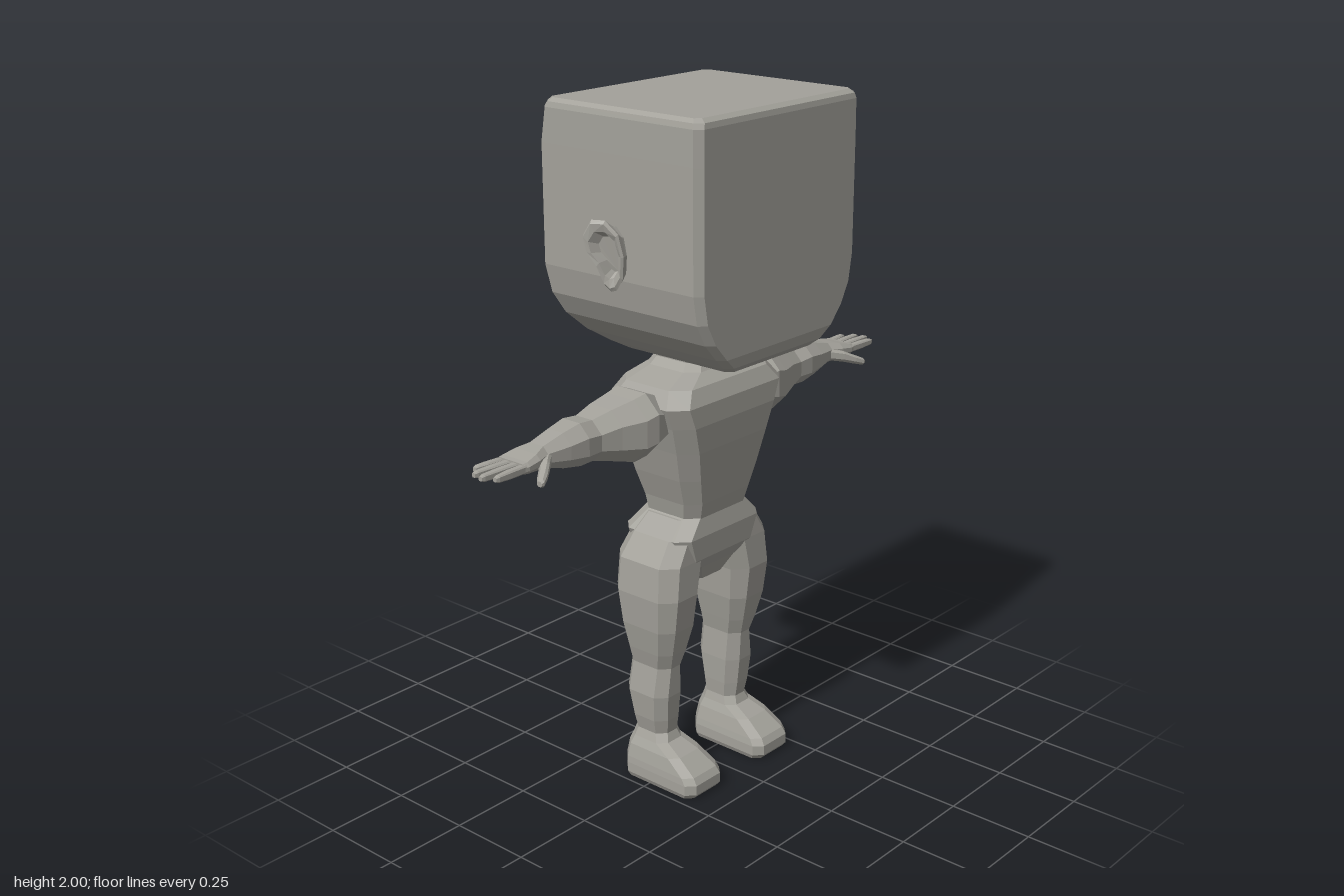
import * as THREE from 'three';

const clay = new THREE.MeshStandardMaterial({ color: 0xa3a19a, flatShading: true });
clay.name = 'warm grey';

// Skin a list of equal-length point rings, cap both ends and face the result outward.
function skin(name, rings) {
  const n = rings[0].length, tris = [];
  for (let r = 0; r < rings.length - 1; r++) {
    for (let i = 0; i < n; i++) {
      const j = (i + 1) % n, a = rings[r], b = rings[r + 1];
      tris.push([a[i], a[j], b[j]], [a[i], b[j], b[i]]);
    }
  }
  const first = rings[0], last = rings[rings.length - 1];
  for (let i = 1; i < n - 1; i++) {
    tris.push([first[0], first[i + 1], first[i]], [last[0], last[i], last[i + 1]]);
  }
  let volume = 0;
  for (const [a, b, c] of tris) volume += a.dot(b.clone().cross(c));
  const points = [];
  for (const [a, b, c] of tris) points.push(...(volume > 0 ? [a, b, c] : [a, c, b]));
  const geometry = new THREE.BufferGeometry().setFromPoints(points);
  geometry.computeVertexNormals();
  const mesh = new THREE.Mesh(geometry, clay);
  mesh.name = name;
  return mesh;
}

// Rectangle with cut corners, as [u, v] pairs.
function chamfered(u0, u1, v0, v1, c) {
  return [[u0 + c, v0], [u1 - c, v0], [u1, v0 + c], [u1, v1 - c],
    [u1 - c, v1], [u0 + c, v1], [u0, v1 - c], [u0, v0 + c]];
}

// Sections: [y, x0, x1, z0, z1, chamfer]
function upright(name, sections, side = 1) {
  return skin(name, sections.map(([y, x0, x1, z0, z1, c]) =>
    chamfered(x0, x1, z0, z1, c).map(([x, z]) => new THREE.Vector3(side * x, y, z))));
}

// Sections: [x, y0, y1, z0, z1, chamfer]
function sideways(name, sections, side) {
  return skin(name, sections.map(([x, y0, y1, z0, z1, c]) =>
    chamfered(y0, y1, z0, z1, c).map(([y, z]) => new THREE.Vector3(side * x, y, z))));
}

// Symmetric sections: [y, halfWidth, z0, z1, chamfer]
const centred = (name, sections) =>
  upright(name, sections.map(([y, w, z0, z1, c]) => [y, -w, w, z0, z1, c]));

function makeEar(side) {
  // Each ring: [x at front, x at back, scale, shift in z]
  const rings = [[0.31, 0.31, 0.7, 0.005], [0.338, 0.365, 0.8, 0.005], [0.352, 0.398, 1, 0],
    [0.358, 0.406, 0.9, 0], [0.354, 0.4, 0.66, 0], [0.34, 0.372, 0.5, 0.004]];
  const outline = [[0.024, 1.53], [0.04, 1.56], [0.045, 1.62], [0.032, 1.68], [0, 1.715],
    [-0.034, 1.715], [-0.054, 1.675], [-0.045, 1.63], [-0.02, 1.59], [-0.004, 1.54], [0.01, 1.525]];
  return skin('ear', rings.map(([xf, xb, s, dz]) => outline.map(([z, y]) => {
    const back = (0.045 - z) / 0.1;
    const low = Math.max(0, (1.6 - y) / 0.08) * 0.006;
    return new THREE.Vector3(side * (xf + (xb - xf) * back - low),
      1.625 + (y - 1.625) * s, dz - 0.002 + (z + 0.002) * s);
  })));
}

function makeArm(side) {
  const arm = new THREE.Group();
  arm.name = side > 0 ? 'leftArm' : 'rightArm';
  arm.add(sideways('armAndPalm', [
    [0.18, 1.07, 1.18, -0.09, 0.05, 0.035],
    [0.21, 1.06, 1.205, -0.11, 0.07, 0.045],
    [0.26, 1.045, 1.225, -0.122, 0.082, 0.05],
    [0.3, 1.037, 1.215, -0.122, 0.075, 0.05],
    [0.37, 1.055, 1.2, -0.112, 0.048, 0.04],
    [0.43, 1.07, 1.185, -0.1, 0.03, 0.035],
    [0.48, 1.07, 1.19, -0.1, 0.033, 0.035],
    [0.54, 1.08, 1.178, -0.09, 0.025, 0.03],
    [0.61, 1.1, 1.16, -0.075, 0.01, 0.018],
    [0.65, 1.108, 1.153, -0.083, 0.022, 0.014],
    [0.69, 1.112, 1.144, -0.085, 0.025, 0.01],
    [0.705, 1.114, 1.142, -0.083, 0.022, 0.009],
  ], side));
  // Four fingers: [root z, tip z, tip x]
  [[-0.07, -0.08, 0.785], [-0.043, -0.051, 0.815], [-0.016, -0.019, 0.822], [0.011, 0.014, 0.803]]
    .forEach(([z0, z1, tip]) => {
      const at = (x, z, r) => [x, 1.128 - r, 1.128 + r, z - r, z + r, r * 0.35];
      arm.add(sideways('finger', [at(0.69, z0, 0.011), at(0.75, (z0 + z1) / 2, 0.011),
        at(tip - 0.01, z1, 0.009), at(tip, z1, 0.006)], side));
    });
  // Thumb angled forward and down
  arm.add(sideways('thumb', [
    [0.6, 1.11, 1.145, -0.02, 0.012, 0.008],
    [0.635, 1.103, 1.137, 0.002, 0.04, 0.008],
    [0.665, 1.094, 1.122, 0.028, 0.062, 0.008],
    [0.688, 1.088, 1.11, 0.046, 0.074, 0.006],
    [0.696, 1.09, 1.105, 0.054, 0.072, 0.005],
  ], side));
  return arm;
}

function makeLeg(side) {
  const leg = new THREE.Group();
  leg.name = side > 0 ? 'leftLeg' : 'rightLeg';
  leg.add(upright('legAndFoot', [
    [0, 0.085, 0.225, -0.095, 0.155, 0.02],
    [0.015, 0.078, 0.232, -0.105, 0.168, 0.025],
    [0.045, 0.078, 0.232, -0.106, 0.168, 0.025],
    [0.065, 0.082, 0.23, -0.106, 0.155, 0.025],
    [0.105, 0.092, 0.222, -0.102, 0.095, 0.025],
    [0.13, 0.103, 0.21, -0.095, 0.038, 0.025],
    [0.155, 0.11, 0.2, -0.09, 0.028, 0.025],
    [0.2, 0.107, 0.21, -0.098, 0.035, 0.028],
    [0.28, 0.105, 0.218, -0.112, 0.043, 0.03],
    [0.37, 0.11, 0.205, -0.105, 0.045, 0.028],
    [0.42, 0.1, 0.217, -0.11, 0.06, 0.03],
    [0.5, 0.085, 0.232, -0.125, 0.08, 0.035],
    [0.6, 0.078, 0.24, -0.14, 0.093, 0.04],
    [0.7, 0.055, 0.23, -0.14, 0.09, 0.042],
    [0.77, 0.06, 0.185, -0.125, 0.085, 0.04],
    [0.82, 0.07, 0.14, -0.1, 0.07, 0.03],
  ], side));
  return leg;
}

export function createModel() {
  const model = new THREE.Group();
  model.name = 'figure';

  // Boxy head with rounded jaw
  model.add(centred('head', [
    [1.31, 0.18, -0.115, 0.262, 0.02],
    [1.328, 0.205, -0.165, 0.28, 0.02],
    [1.36, 0.243, -0.22, 0.288, 0.02],
    [1.41, 0.288, -0.255, 0.288, 0.02],
    [1.47, 0.32, -0.273, 0.288, 0.02],
    [1.55, 0.334, -0.283, 0.288, 0.02],
    [1.88, 0.335, -0.283, 0.288, 0.02],
    [1.975, 0.334, -0.268, 0.288, 0.02],
    [1.99, 0.33, -0.26, 0.285, 0.02],
    [2, 0.318, -0.25, 0.27, 0.015],
  ]));

  // Neck, shoulders, chest and waist
  model.add(centred('torso', [
    [0.78, 0.14, -0.125, 0.085, 0.035],
    [0.82, 0.128, -0.115, 0.085, 0.035],
    [0.87, 0.138, -0.122, 0.098, 0.037],
    [0.95, 0.165, -0.14, 0.112, 0.042],
    [1.04, 0.19, -0.155, 0.126, 0.045],
    [1.12, 0.215, -0.162, 0.134, 0.045],
    [1.18, 0.238, -0.158, 0.133, 0.045],
    [1.225, 0.205, -0.135, 0.112, 0.045],
    [1.25, 0.115, -0.118, 0.075, 0.035],
    [1.27, 0.09, -0.11, 0.058, 0.03],
    [1.33, 0.088, -0.105, 0.055, 0.03],
  ]));

  // Hips tapering to the crotch
  model.add(centred('pelvis', [
    [0.61, 0.06, -0.085, 0.045, 0.02],
    [0.66, 0.095, -0.125, 0.07, 0.025],
    [0.7, 0.15, -0.152, 0.092, 0.03],
    [0.77, 0.18, -0.147, 0.096, 0.035],
    [0.825, 0.128, -0.115, 0.085, 0.035],
  ]));

  for (const side of [1, -1]) model.add(makeEar(side), makeArm(side), makeLeg(side));
  return model;
}
